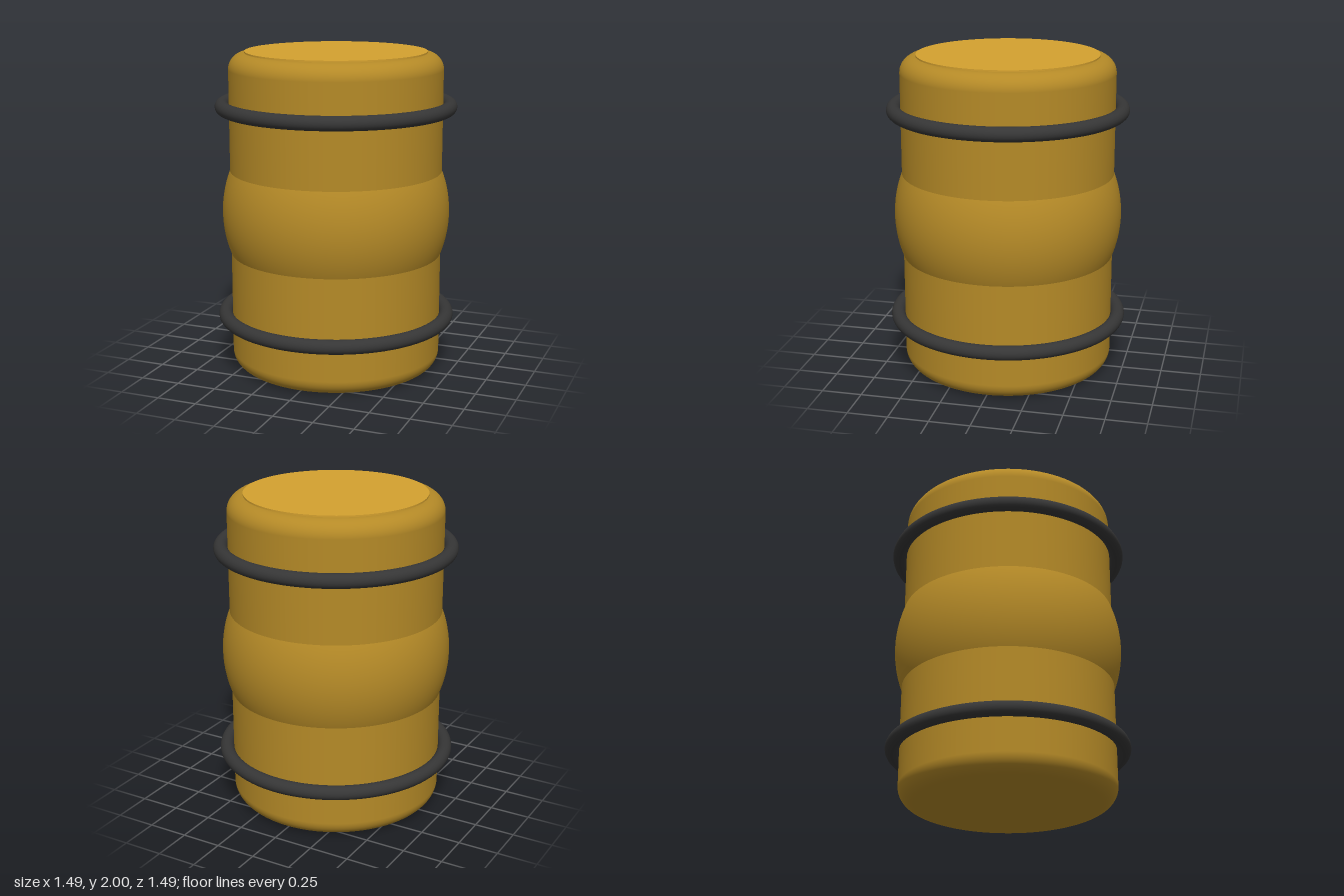
import * as THREE from 'three';

export function createModel() {
  const model = new THREE.Group();
  const paint = (name, color) => {
    const m = new THREE.MeshStandardMaterial({ color });
    m.name = name;
    return m;
  };
  const wood = paint('ochre wood', 0xb58a27);
  const lidWood = paint('light ochre wood', 0xd4a12f);
  const iron = paint('dark iron', 0x363636);

  const add = (name, geometry, material, y) => {
    const mesh = new THREE.Mesh(geometry, material);
    mesh.name = name;
    mesh.position.y = y;
    model.add(mesh);
    return mesh;
  };

  // Barrel body: straight wall with rounded rims, closed at both ends
  const radius = 0.66, round = 0.1, height = 1.99;
  const outline = new THREE.Path();
  outline.moveTo(0, 0);
  outline.lineTo(radius - round, 0);
  outline.absarc(radius - round, round, round, -Math.PI / 2, 0, false);
  outline.lineTo(radius, height - round);
  outline.absarc(radius - round, height - round, round, 0, Math.PI / 2, false);
  outline.lineTo(0, height);
  add('barrelBody', new THREE.LatheGeometry(outline.getPoints(10), 96), wood, 0);

  // Bulging waist: the middle band of a sphere
  const bulge = 0.71, span = Math.asin(0.28 / bulge);
  add('barrelBulge', new THREE.SphereGeometry(bulge, 96, 20, 0, Math.PI * 2,
    Math.PI / 2 - span, span * 2), wood, 1);

  // Lid disc on top
  add('lid', new THREE.CylinderGeometry(0.56, 0.56, 0.02, 96), lidWood, 1.99);

  // Round hoops near both ends
  for (const [name, y] of [['lowerHoop', 0.336], ['upperHoop', 1.664]]) {
    add(name, new THREE.TorusGeometry(0.703, 0.044, 20, 96), iron, y).rotation.x = Math.PI / 2;
  }
  return model;
}
